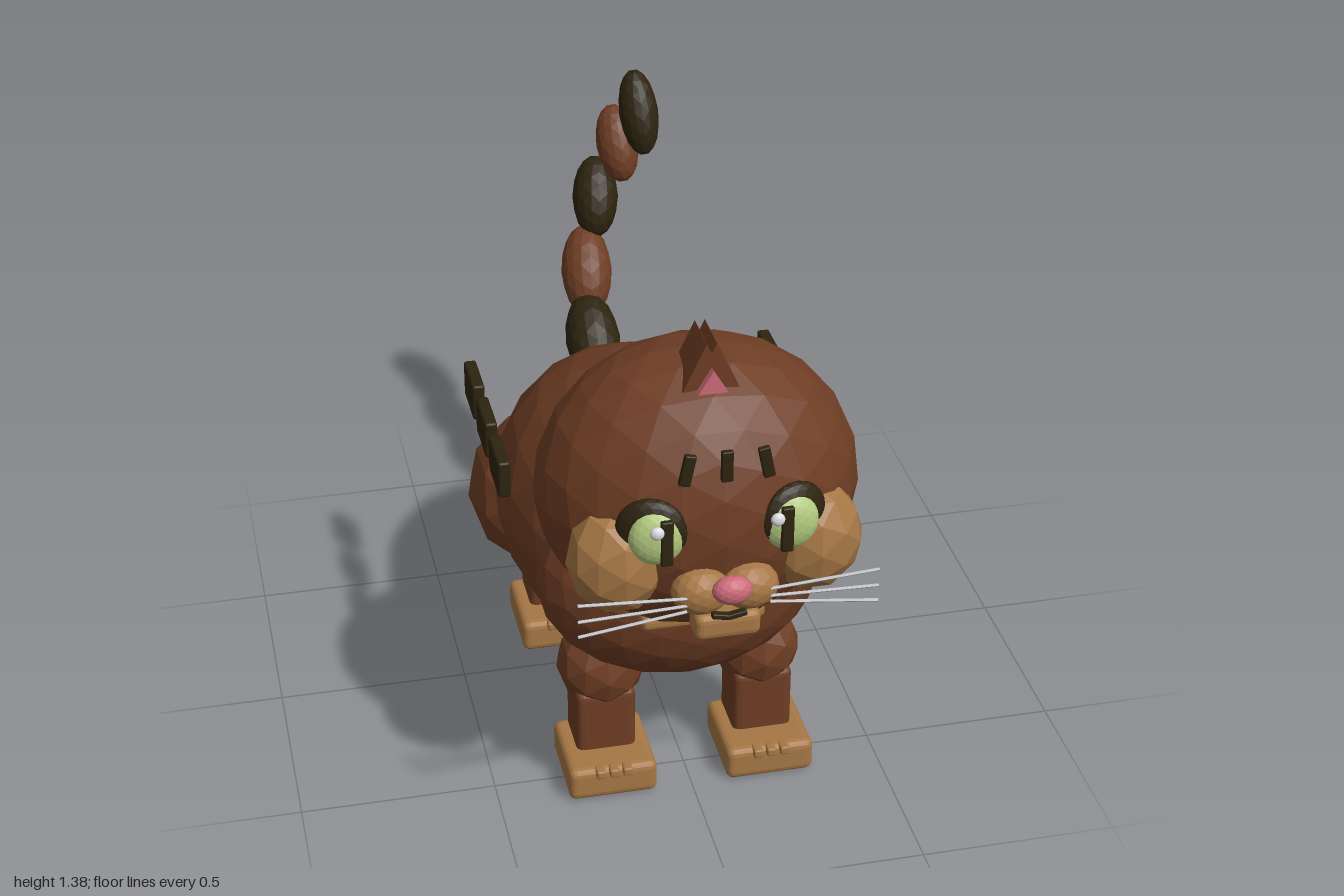
import * as THREE from 'three';
import { RoundedBoxGeometry } from 'three/addons/geometries/RoundedBoxGeometry.js';

function material(name, color) {
  const m = new THREE.MeshStandardMaterial({ color, flatShading: true });
  m.name = name;
  return m;
}

export function createModel() {
  const brown = material('brown fur', 0x6e3d24);
  const tan = material('tan fur', 0xa67745);
  const dark = material('dark stripe', 0x2d230f);
  const green = material('eye green', 0xb3cb80);
  const pink = material('pink skin', 0xcc6b79);
  const white = material('eye glint', 0xdcdce4);
  const grey = material('whisker grey', 0xc4c6ca);

  const cat = new THREE.Group();
  cat.name = 'cat';

  function add(name, geometry, mat, pos = [0, 0, 0], rot = [0, 0, 0]) {
    const mesh = new THREE.Mesh(geometry, mat);
    mesh.name = name;
    mesh.position.set(...pos);
    mesh.rotation.set(...rot);
    cat.add(mesh);
    return mesh;
  }
  // Faceted ellipsoid with given radii
  const blob = (name, mat, pos, radii, detail = 2, rot) =>
    add(name, new THREE.IcosahedronGeometry(1, detail).scale(...radii), mat, pos, rot);
  // Box with softened edges
  const block = (name, mat, pos, size, radius = 0.01, rot) =>
    add(name, new RoundedBoxGeometry(...size, 2, radius), mat, pos, rot);
  // Thin rod or long ellipsoid between two points
  const UP = new THREE.Vector3(0, 1, 0);
  function along(name, geometryFor, mat, a, b) {
    const p = new THREE.Vector3(...a), q = new THREE.Vector3(...b);
    const dir = q.clone().sub(p);
    const mesh = add(name, geometryFor(dir.length()), mat);
    mesh.position.copy(p).add(q).multiplyScalar(0.5);
    mesh.quaternion.setFromUnitVectors(UP, dir.normalize());
  }

  // Trunk and head
  blob('body', brown, [0, 0.525, 0], [0.392, 0.36, 0.55], 3);
  blob('chest', brown, [0, 0.56, 0.42], [0.367, 0.28, 0.235], 3);
  blob('neck', brown, [0, 0.72, 0.45], [0.25, 0.14, 0.16], 2);
  blob('head', brown, [0, 0.94, 0.6], [0.397, 0.37, 0.312], 3);
  block('throatPatch', tan, [0, 0.598, 0.665], [0.31, 0.04, 0.09], 0.015);

  // Nose, chin and mouth
  blob('nose', pink, [0, 0.855, 0.968], [0.048, 0.036, 0.032], 2);
  block('chin', tan, [0, 0.735, 0.905], [0.16, 0.07, 0.085], 0.02);
  block('foreheadStripe', dark, [0, 1.15, 0.9], [0.028, 0.08, 0.016], 0.004);

  for (const s of [-1, 1]) {
    // Face, mirrored on both sides
    blob('cheek', tan, [s * 0.235, 0.87, 0.8], [0.125, 0.143, 0.105], 1);
    blob('muzzle', tan, [s * 0.058, 0.818, 0.9], [0.072, 0.06, 0.055], 2);
    block('mouth', dark, [s * 0.02, 0.771, 0.945], [0.045, 0.014, 0.02], 0.004, [0, 0, s * 0.2]);
    blob('eyeRim', dark, [s * 0.169, 0.978, 0.868], [0.086, 0.086, 0.035], 3, [0, s * 0.3, 0]);
    blob('eye', green, [s * 0.157, 0.97, 0.88], [0.07, 0.075, 0.04], 3);
    block('pupil', dark, [s * 0.143, 0.97, 0.916], [0.03, 0.12, 0.016], 0.005);
    blob('eyeGlint', white, [s * 0.1425 - 0.0255, 1.005, 0.925], [0.017, 0.017, 0.012], 2);
    block('foreheadStripe', dark, [s * 0.093, 1.15, 0.9], [0.028, 0.08, 0.016], 0.004, [0, 0, s * 0.2]);
    block('throatFold', brown, [s * 0.22, 0.655, 0.665], [0.08, 0.035, 0.09], 0.012, [0, 0, s * 0.6]);
    block('jawFold', brown, [s * 0.29, 0.72, 0.665], [0.06, 0.03, 0.08], 0.012, [0, 0, s * 0.8]);

    // Whiskers
    for (const [inner, outer] of [[0.826, 0.85], [0.806, 0.805], [0.79, 0.763]]) {
      along('whisker', (l) => new THREE.CylinderGeometry(0.004, 0.004, l, 6), grey,
        [s * 0.1, inner, 0.94], [s * 0.36, outer, 0.95]);
    }

    // Ear prism leaning to the middle
    const ear = new THREE.Shape([[0.068, 1.26], [0.012, 1.38], [-0.045, 1.26]]
      .map(([x, y]) => new THREE.Vector2(s * x, y)));
    add('ear', new THREE.ExtrudeGeometry(ear, { depth: 0.12, bevelEnabled: false }), brown, [0, 0, 0.62]);

    // Legs: front pair has shoulders, rear pair has haunches
    blob('shoulder', brown, [s * 0.205, 0.31, 0.43], [0.115, 0.115, 0.115], 1);
    blob('haunch', brown, [s * 0.225, 0.38, -0.32], [0.2, 0.21, 0.235], 1);
    for (const z of [0.445, -0.23]) {
      block(z > 0 ? 'frontLeg' : 'rearLeg', brown, [s * 0.207, 0.17, z], [0.155, 0.2, 0.15], 0.02);
      block('paw', tan, [s * 0.207, 0.051, z + 0.045], [0.23, 0.092, 0.24], 0.02);
      for (const t of [-1, 0, 1]) {
        block('toe', tan, [s * 0.207 + t * 0.035, 0.087, z + 0.16], [0.025, 0.024, 0.035], 0.006);
      }
    }

    // Flank stripes
    for (const z of [0.16, -0.04, -0.24]) {
      block('flankStripe', dark, [s * 0.408, 0.76, z], [0.034, 0.103, 0.148], 0.008);
    }
  }

  // Inner ear
  const innerEar = new THREE.Shape([[-0.035, 1.26], [0.035, 1.26], [0, 1.318]]
    .map(([x, y]) => new THREE.Vector2(x, y)));
  add('innerEar', new THREE.ExtrudeGeometry(innerEar, { depth: 0.025, bevelEnabled: false }), pink, [0, 0, 0.735]);

  // Tail of alternating segments
  blob('tailBase', brown, [0, 0.58, -0.5], [0.08, 0.07, 0.06], 1);
  const tail = [
    [[0, 0.545, -0.555], [0, 0.735, -0.765], 0.078],
    [[0.005, 0.675, -0.74], [0.025, 0.885, -0.905], 0.073],
    [[0.05, 0.865, -0.86], [0.075, 1.065, -0.985], 0.066],
    [[0.13, 1.04, -0.845], [0.115, 1.24, -0.945], 0.06],
    [[0.17, 1.165, -0.745], [0.155, 1.388, -0.835], 0.055],
  ];
  tail.forEach(([a, b, r], i) => along('tailSegment',
    (l) => new THREE.IcosahedronGeometry(1, 2).scale(r, l / 2, r), i % 2 ? brown : dark, a, b));

  return cat;
}
